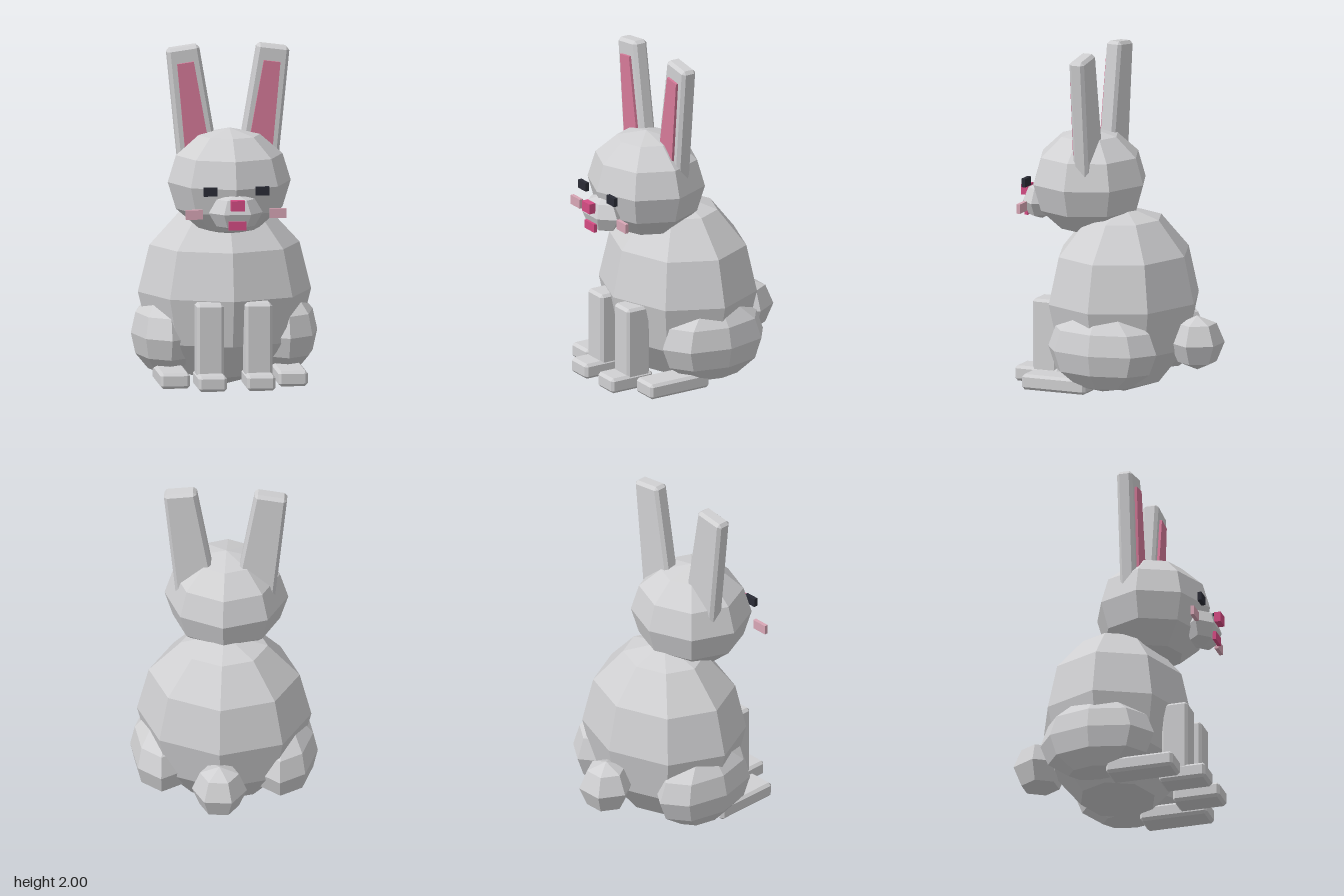
import * as THREE from 'three';
import { ConvexGeometry } from 'three/addons/geometries/ConvexGeometry.js';

const paint = (name, color) => {
  const m = new THREE.MeshStandardMaterial({ color });
  m.name = name;
  return m;
};

// Faceted ellipsoid with flat faces
function blob(rx, ry, rz, sides, rows) {
  const g = new THREE.SphereGeometry(1, sides, rows).scale(rx, ry, rz).toNonIndexed();
  g.computeVertexNormals();
  return g;
}

// Box with chamfered edges; wBottom widens the lower end
function chamferBox(w, h, d, c, wBottom = w) {
  const points = [];
  for (const sx of [-1, 1]) for (const sy of [-1, 1]) for (const sz of [-1, 1]) {
    const x = (sy > 0 ? w : wBottom) / 2, y = h / 2, z = d / 2;
    for (const [a, b, e] of [[0, c, c], [c, 0, c], [c, c, 0]]) {
      points.push(new THREE.Vector3(sx * (x - a), sy * (y - b), sz * (z - e)));
    }
  }
  return new ConvexGeometry(points);
}

// Plain slab with a wider lower end
function taperedSlab(w, h, d, wBottom) {
  const g = new THREE.BoxGeometry(w, h, d);
  const p = g.attributes.position;
  for (let i = 0; i < p.count; i++) {
    if (p.getY(i) < 0) p.setX(i, p.getX(i) * wBottom / w);
  }
  g.computeVertexNormals();
  return g;
}

export function createModel() {
  const model = new THREE.Group();
  model.name = 'rabbit';

  const fur = paint('grey fur', 0xd0d0d2);
  const earPink = paint('inner ear pink', 0xd67a99);
  const nosePink = paint('nose pink', 0xd64c84);
  const blush = paint('cheek blush', 0xd8a7b6);
  const dark = paint('eye black', 0x2a2c36);

  const add = (name, geometry, material, x, y, z, parent = model) => {
    const mesh = new THREE.Mesh(geometry, material);
    mesh.name = name;
    mesh.position.set(x, y, z);
    parent.add(mesh);
    return mesh;
  };

  // Torso, head, tail
  add('body', blob(0.5, 0.545, 0.44, 8, 6), fur, 0, 0.545, -0.015);
  add('head', blob(0.355, 0.31, 0.337, 8, 6), fur, 0, 1.213, 0.2);
  add('tail', blob(0.158, 0.158, 0.158, 6, 4), fur, 0, 0.325, -0.477);

  // Muzzle, nose, mouth
  add('muzzle', blob(0.156, 0.11, 0.1, 6, 4), fur, 0, 1.077, 0.497);
  add('nose', new THREE.BoxGeometry(0.08, 0.06, 0.04), nosePink, 0, 1.132, 0.592);
  add('mouth', new THREE.BoxGeometry(0.1, 0.05, 0.02), nosePink, 0, 1.013, 0.577);

  // Mirrored parts
  for (const [side, s] of [['left', 1], ['right', -1]]) {
    add(side + 'Eye', new THREE.BoxGeometry(0.08, 0.05, 0.024), dark, s * 0.15, 1.205, 0.53);
    add(side + 'Cheek', new THREE.BoxGeometry(0.096, 0.055, 0.022), blush, s * 0.242, 1.073, 0.517);

    add(side + 'Haunch', blob(0.198, 0.24, 0.34, 8, 6), fur, s * 0.34, 0.305, -0.035);
    add(side + 'HindFoot', chamferBox(0.17, 0.09, 0.4, 0.016), fur, s * 0.34, 0.095, 0.238);
    add(side + 'FrontLeg', chamferBox(0.155, 0.44, 0.155, 0.016), fur, s * 0.14, 0.32, 0.387);
    add(side + 'FrontFoot', chamferBox(0.165, 0.09, 0.28, 0.016), fur, s * 0.14, 0.095, 0.433);

    // Ear pivots at its tip and leans outward
    const ear = new THREE.Group();
    ear.name = side + 'Ear';
    ear.position.set(s * 0.262, 1.988, 0.128);
    ear.rotation.z = -s * 0.135;
    model.add(ear);
    add(side + 'EarShell', chamferBox(0.188, 0.71, 0.092, 0.018, 0.235), fur, 0, -0.355, 0, ear);
    add(side + 'InnerEar', taperedSlab(0.096, 0.52, 0.02, 0.142), earPink, 0, -0.35, 0.051, ear);
  }

  return model;
}
